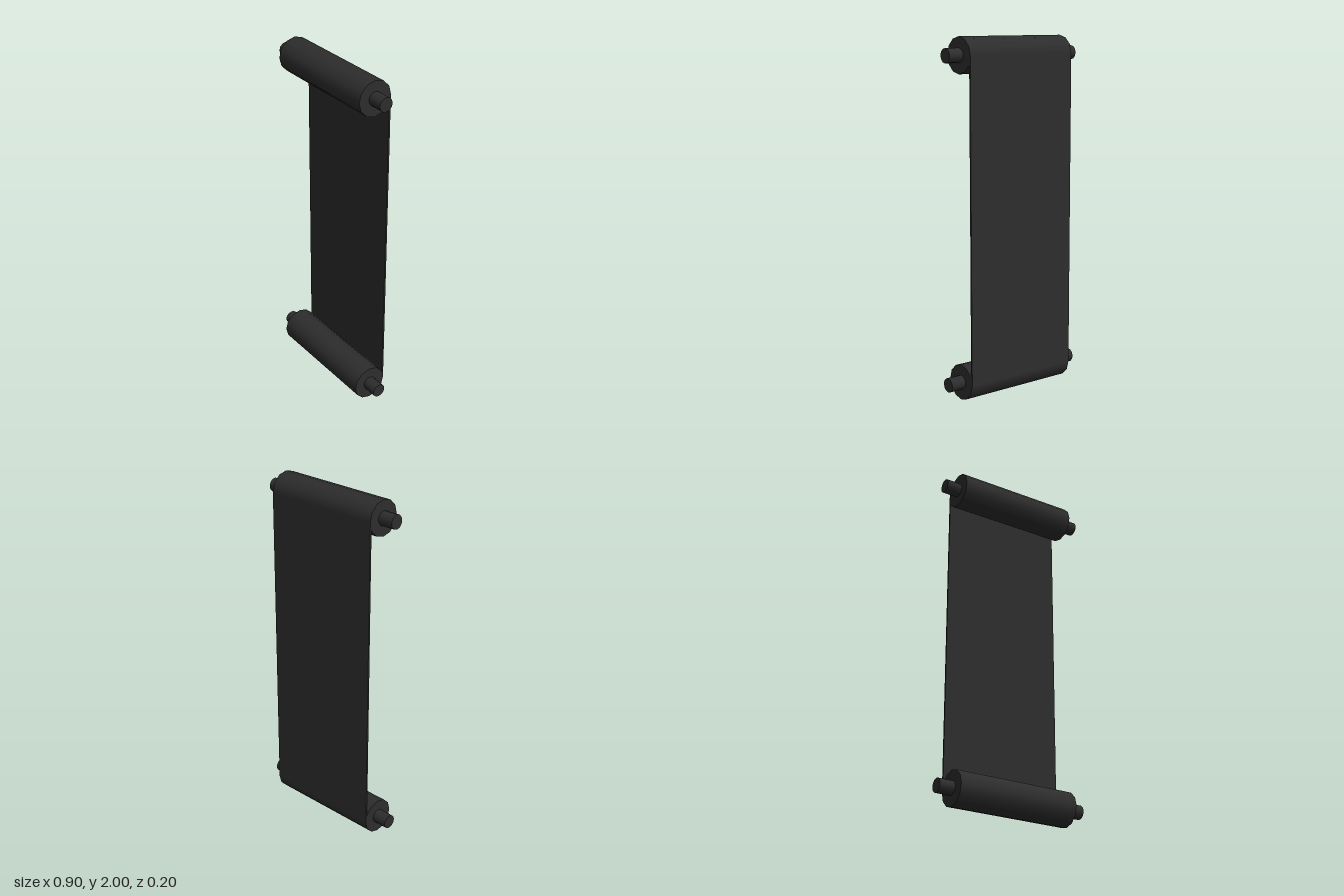
import * as THREE from 'three';

export function createModel() {
  const model = new THREE.Group();
  const charcoal = new THREE.MeshStandardMaterial({ color: 0x2d2d2d });
  charcoal.name = 'charcoal';

  function add(name, geometry, x, y, z) {
    const mesh = new THREE.Mesh(geometry, charcoal);
    mesh.name = name;
    mesh.position.set(x, y, z);
    model.add(mesh);
  }

  // twelve-sided bar lying along x
  const bar = (radius, length) =>
    new THREE.CylinderGeometry(radius, radius, length, 12).rotateZ(Math.PI / 2);

  // rolled ends, each with a handle stub on both sides
  for (const [label, y] of [['upper', 1.9], ['lower', 0.1]]) {
    add(label + 'Roll', bar(0.1, 0.72), 0, y, 0);
    for (const side of [-1, 1]) {
      add(label + (side > 0 ? 'LeftHandle' : 'RightHandle'), bar(0.04, 0.09), side * 0.405, y, 0);
    }
  }

  // sheet hanging tangent to the backs of both rolls
  add('sheet', new THREE.BoxGeometry(0.72, 1.8, 0.01), 0, 1, -0.095);

  return model;
}
